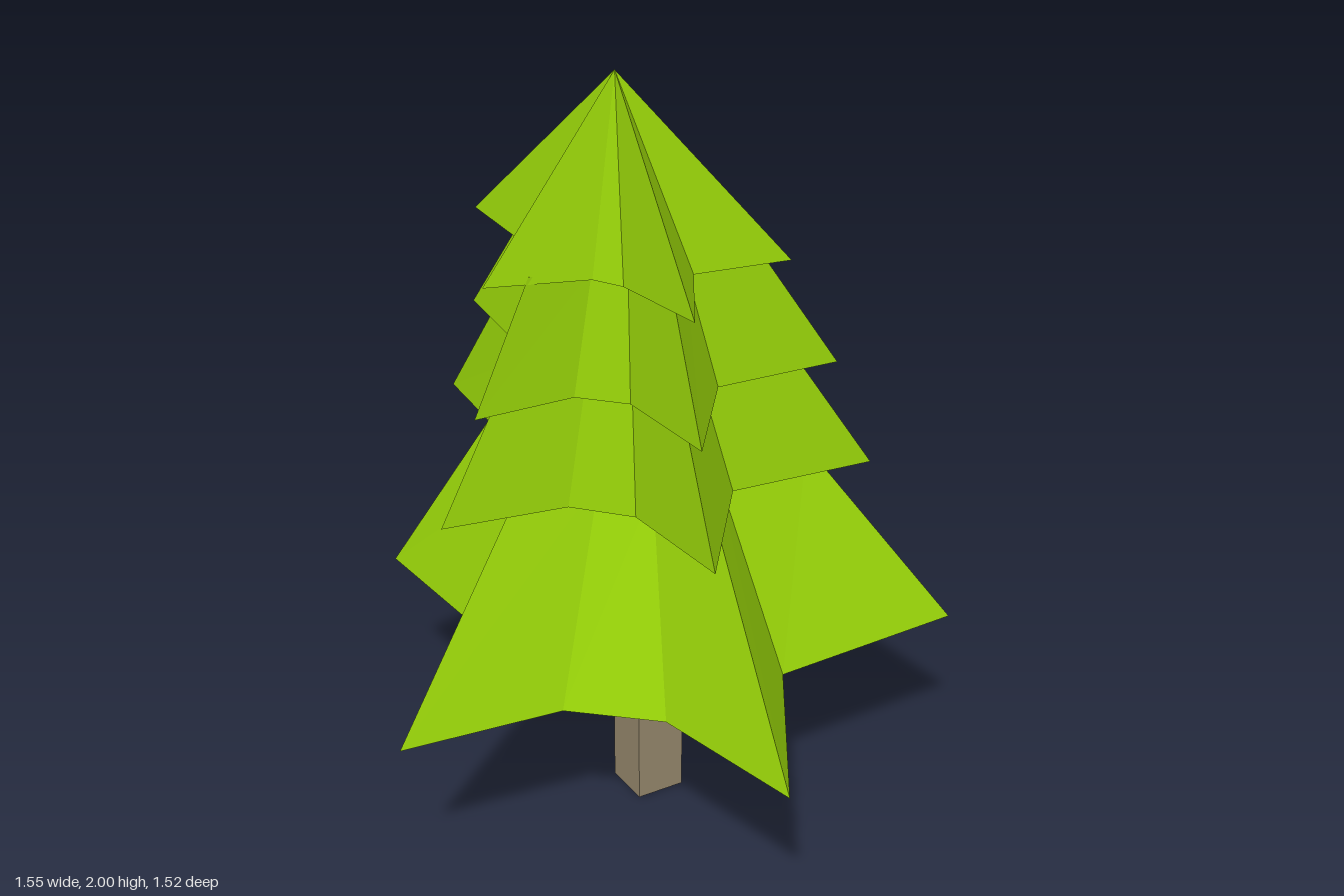
import * as THREE from 'three';

// Point of the tree and height of the lowest branches
const APEX = [-0.02, 2, -0.13];
const SKIRT = 0.46;

// Each tier is a star outline of [x, y, z] points, running from the left tip round the front:
// left tip, notch, front tip, two notches, right tip, notch, back tip, notch, back tip, notch.
// Its top is the outline scaled by shrink about pivot [x, z]; midY is the middle of its underside.
const TIERS = [
  {
    name: 'bottomBranches', midY: SKIRT, shrink: 0.53, pivot: [0.15, -0.31],
    ring: [[0.773, 0.277], [0.226, 0.296], [-0.06, 0.76], [-0.147, 0.332], [-0.345, 0.157], [-0.775, 0.112],
      [-0.345, -0.22], [-0.382, -0.763], [0.08, -0.465], [0.572, -0.662], [0.422, -0.14]]
      .map(([x, z]) => [x, SKIRT, z]),
  },
  {
    name: 'lowerMiddleBranches', midY: 0.95, shrink: 0.69, pivot: [0, -0.12],
    ring: [[0.589, 0.915, 0.138], [0.172, 0.933, 0.125], [-0.085, 0.929, 0.454], [-0.11, 0.933, 0.12],
      [-0.235, 0.94, 0], [-0.558, 0.938, -0.06], [-0.215, 0.955, -0.3], [-0.2, 0.978, -0.72],
      [0.105, 0.965, -0.475], [0.492, 0.965, -0.617], [0.347, 0.948, -0.205]],
  },
  {
    name: 'upperMiddleBranches', midY: 1.235, shrink: 0.635, pivot: [0, -0.12],
    ring: [[0.503, 1.204, 0.092], [0.147, 1.215, 0.087], [-0.07, 1.212, 0.363], [-0.095, 1.22, 0.07],
      [-0.205, 1.23, -0.015], [-0.473, 1.23, -0.025], [-0.205, 1.25, -0.27], [-0.2, 1.282, -0.572],
      [0.07, 1.265, -0.39], [0.392, 1.27, -0.522], [0.282, 1.222, -0.195]],
  },
  {
    name: 'topBranches', midY: 1.53,
    ring: [[0.38, 1.495, 0.052], [0.097, 1.514, 0.047], [-0.06, 1.52, 0.31], [-0.09, 1.515, 0.03],
      [-0.145, 1.525, -0.025], [-0.413, 1.54, -0.08], [-0.195, 1.54, -0.255], [-0.2, 1.552, -0.542],
      [0.027, 1.543, -0.365], [0.287, 1.53, -0.462], [0.2, 1.524, -0.185]],
  },
];

// Closed star between a tier's outline and its top: the underside of the next tier, or the apex
function tierGeometry({ ring, midY, shrink, pivot }, next) {
  const pos = [];
  const tri = (...pts) => pts.forEach((p) => pos.push(...p));
  const lowMid = [APEX[0], midY, APEX[2]];
  const highMid = next && [APEX[0], next.midY + 0.01, APEX[2]];
  const high = next && ring.map(([x, , z], i) => [
    pivot[0] + (x - pivot[0]) * shrink,
    next.ring[i][1] + 0.012,
    pivot[1] + (z - pivot[1]) * shrink,
  ]);
  ring.forEach((a, i) => {
    const j = (i + 1) % ring.length;
    const b = ring[j];
    tri(lowMid, a, b);
    if (next) {
      tri(a, high[i], b);
      tri(high[i], high[j], b);
      tri(highMid, high[j], high[i]);
    } else {
      tri(a, APEX, b);
    }
  });
  const geo = new THREE.BufferGeometry();
  geo.setAttribute('position', new THREE.Float32BufferAttribute(pos, 3));
  geo.computeVertexNormals();
  return geo;
}

export function createModel() {
  const tree = new THREE.Group();
  tree.name = 'tree';

  const leafMat = new THREE.MeshStandardMaterial({ color: 0x92cb08, flatShading: true });
  const barkMat = new THREE.MeshStandardMaterial({ color: 0x94866b, flatShading: true });

  // Foliage tiers
  TIERS.forEach((tier, i) => {
    const mesh = new THREE.Mesh(tierGeometry(tier, TIERS[i + 1]), leafMat);
    mesh.name = tier.name;
    tree.add(mesh);
  });

  // Square trunk
  const trunk = new THREE.Mesh(new THREE.BoxGeometry(0.134, 0.48, 0.134), barkMat);
  trunk.position.set(0.025, 0.24, -0.05);
  trunk.name = 'trunk';
  tree.add(trunk);

  return tree;
}
